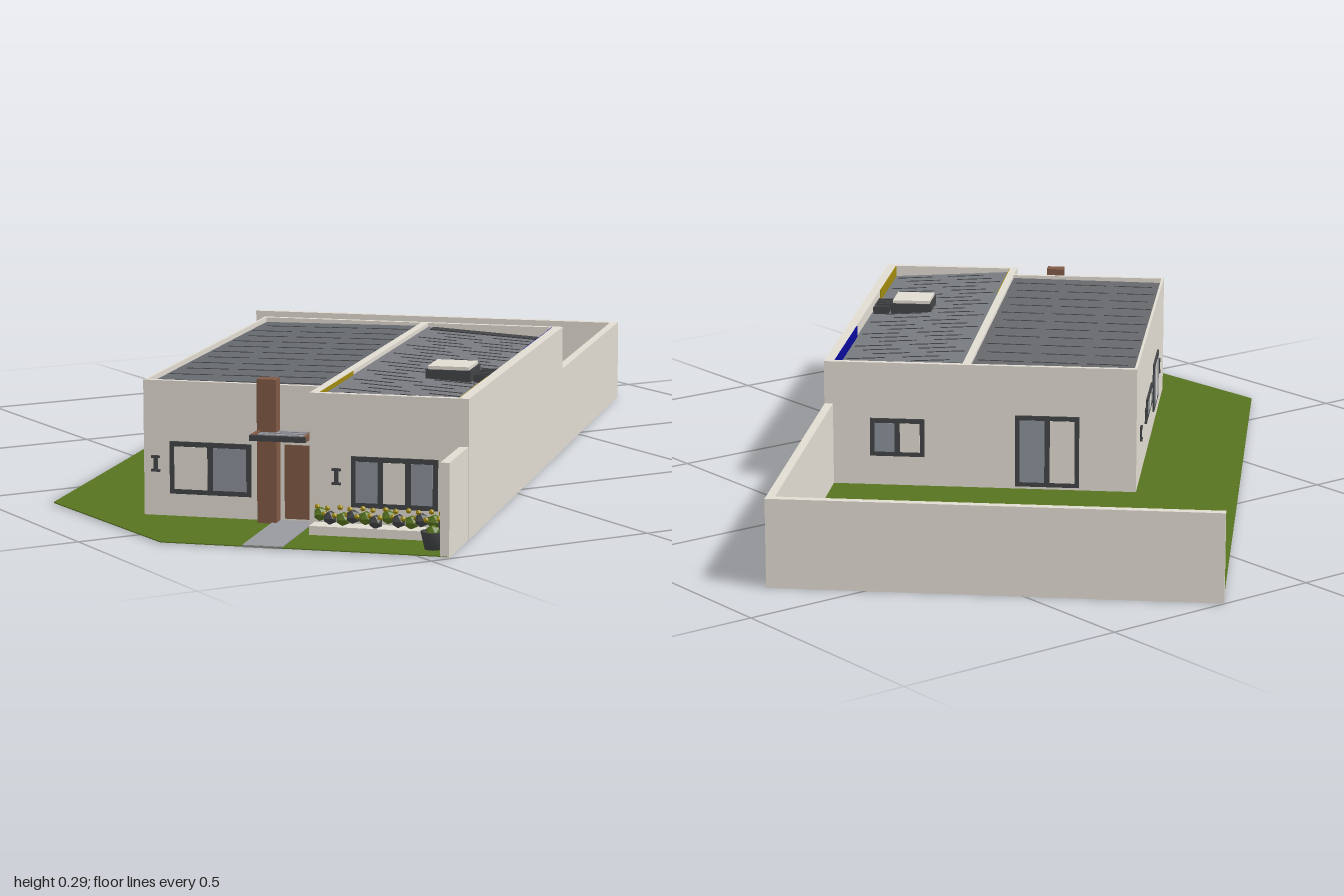
import * as THREE from 'three';

const mat = (name, color) => {
  const m = new THREE.MeshStandardMaterial({ color });
  m.name = name;
  return m;
};

export function createModel() {
  const wall = mat('wall plaster', 0xe2dcd2);
  const grass = mat('grass', 0x577320);
  const roofDark = mat('dark roof', 0x66696d);
  const roofLight = mat('light roof', 0x787b80);
  const paving = mat('paving', 0x989aa0);
  const brown = mat('brown brick', 0x805a46);
  const dark = mat('dark metal', 0x424446);
  const glass = mat('glass', 0x8c929a);
  const blue = mat('blue paint', 0x0a0a9a);
  const yellow = mat('yellow paint', 0xa08a10);

  const model = new THREE.Group();
  model.name = 'houseAndYard';
  // The plot is turned: a runs front to back, b runs right to left (local z = -b)
  const plot = new THREE.Group();
  plot.name = 'plot';
  plot.position.set(-0.458, 0, 0.997);
  plot.rotation.y = Math.atan2(0.715, 0.699);
  model.add(plot);

  const add = (name, geo, material) => {
    const mesh = new THREE.Mesh(geo, material);
    mesh.name = name;
    plot.add(mesh);
    return mesh;
  };
  const box = (name, m, a0, a1, y0, y1, b0, b1) => {
    const g = new THREE.BoxGeometry(a1 - a0, y1 - y0, b1 - b0);
    g.translate((a0 + a1) / 2, (y0 + y1) / 2, -(b0 + b1) / 2);
    return add(name, g, m);
  };
  // Box whose height follows the slope of a roof
  const sloped = (name, m, a0, a1, b0, b1, thick, heightAt) => {
    const mesh = box(name, m, a0, a1, -thick, 0, b0, b1);
    const p = mesh.geometry.attributes.position;
    for (let i = 0; i < p.count; i++) p.setY(i, p.getY(i) + heightAt(-p.getZ(i)));
    mesh.geometry.computeVertexNormals();
    return mesh;
  };

  // Lawn
  const outline = [[0, 0.004], [1.89, 0.004], [1.89, 0.91], [0.32, 0.905], [0, 0.575]];
  const lawn = new THREE.ExtrudeGeometry(
    new THREE.Shape(outline.map(([a, b]) => new THREE.Vector2(a, b))),
    { depth: 0.002, bevelEnabled: false });
  lawn.rotateX(-Math.PI / 2).translate(0, 0.002, 0);
  add('lawn', lawn, grass);

  // Path and floors
  box('path', paving, 0, 0.25, 0.001, 0.006, 0.33, 0.41);
  box('rightFloor', wall, 0.175, 0.44, 0.0008, 0.008, 0.005, 0.32);
  box('hallFloor', wall, 0.44, 0.65, 0.0008, 0.008, 0.23, 0.32);
  box('brownFloor', brown, 0.44, 0.65, 0.0005, 0.008, 0.005, 0.23);
  box('bedroomFloor', dark, 0.65, 1.145, 0.0005, 0.008, 0.005, 0.31);
  box('leftFloor', wall, 0.25, 1.145, 0.0008, 0.008, 0.32, 0.68);
  box('bathFloor', dark, 0.9, 1.145, 0, 0.008, 0.41, 0.675);

  // Yard walls
  const Y = 0.185, H = 0.28, back = 1.156, front = 0.17;
  box('rightYardWall', wall, 0, 1.9, 0, Y, 0, 0.018);
  box('backYardWall', wall, 1.882, 1.9, 0, Y, 0, 0.912);

  // House walls, standing up as low parapets around both roofs
  box('rightWall', wall, front, back, 0, H, -0.001, 0.02);
  box('rightFrontWall', wall, front, front + 0.014, 0, H, 0.01, 0.315);
  box('rightBackWall', wall, back - 0.014, back, 0, H, 0.01, 0.315);
  box('middleWall', wall, front, back, 0, H, 0.303, 0.32);
  box('leftFrontWall', wall, 0.245, 0.257, 0, H, 0.315, 0.685);
  box('leftBackWall', wall, back - 0.012, back, 0, H, 0.315, 0.685);
  box('leftWall', wall, 0.245, back, 0, H, 0.679, 0.685);

  // Roofs falling gently away from the middle wall
  const leftHeight = (b) => 0.273 - (b - 0.32) * 0.01;
  const rightHeight = (b) => 0.253 + b * 0.06;
  sloped('leftRoof', roofDark, 0.255, back - 0.01, 0.318, 0.681, 0.01, leftHeight);
  sloped('rightRoof', roofLight, front + 0.012, back - 0.012, 0.018, 0.305, 0.01, rightHeight);
  sloped('roofGutter', dark, 1.105, 1.14, 0.03, 0.29, 0.003, (b) => rightHeight(b) + 0.002);

  // Roof seams, in staggered lengths
  for (let i = 0; i < 11; i++) {
    const a = 0.31 + i * 0.077;
    for (const [b0, b1] of [[0.33, 0.43], [0.45, 0.55], [0.57, 0.66]]) {
      const s = (i % 2) * 0.012;
      sloped('leftRoofSeam', dark, a, a + 0.0035, b0 + s, b1 + s, 0.003, (b) => leftHeight(b) + 0.001);
    }
  }
  for (let i = 0; i < 23; i++) {
    const a = 0.21 + i * 0.039, s = (i % 3) * 0.025;
    for (const b0 of [0.03, 0.155])
      sloped('rightRoofSeam', dark, a, a + 0.0045, b0 + s, b0 + s + 0.085, 0.003,
        (b) => rightHeight(b) + 0.001);
  }

  // Painted inner faces of the parapets
  box('blueParapet', blue, 0.82, back - 0.016, 0.25, 0.2795, 0.019, 0.022);
  box('yellowParapet', yellow, 0.186, 0.45, 0.25, 0.2795, 0.019, 0.022);
  box('yellowMiddleParapet', yellow, 0.186, 0.45, 0.255, 0.2795, 0.301, 0.304);

  // Skylight with a slatted vent beside it
  box('skylightRim', dark, 0.497, 0.595, 0.24, 0.281, 0.067, 0.161);
  box('skylight', wall, 0.501, 0.591, 0.24, 0.288, 0.071, 0.157);
  for (let i = 0; i < 6; i++)
    box('ventSlat', dark, 0.505 + i * 0.017, 0.511 + i * 0.017, 0.245, 0.272, 0.025, 0.062);

  // Plate on an outside face: facing is 'front', 'back' or 'left'; s runs along the wall
  const plate = (name, m, facing, at, s0, s1, y0, y1, d) => {
    if (facing === 'left') return box(name, m, s0, s1, y0, y1, at - 0.002, at + d);
    const out = facing === 'front' ? -d : d;
    return box(name, m, Math.min(at, at + out), Math.max(at, at + out), y0, y1, s0, s1);
  };
  const windowUnit = (facing, at, s0, s1, y0, y1, panes) => {
    plate('windowFrame', dark, facing, at, s0, s1, y0, y1, 0.004);
    const w = (s1 - s0 - 0.008) / panes;
    for (let i = 0; i < panes; i++) {
      const p = s0 + 0.004 + i * w;
      plate('windowPane', i % 2 ? wall : glass, facing, at, p + 0.006, p + w - 0.006,
        y0 + 0.01, y1 - 0.01, 0.005);
    }
  };
  windowUnit('front', 0.245, 0.46, 0.63, 0.05, 0.157, 2);
  windowUnit('front', front, 0.06, 0.235, 0.055, 0.157, 3);
  windowUnit('left', 0.685, 0.473, 0.629, 0.045, 0.157, 3);
  windowUnit('left', 0.685, 0.69, 0.85, 0.085, 0.133, 3);
  windowUnit('back', back, 0.42, 0.56, 0.01, 0.17, 2);
  windowUnit('back', back, 0.1, 0.22, 0.07, 0.155, 2);

  // Front door
  plate('frontDoor', brown, 'front', 0.245, 0.335, 0.39, 0.01, 0.16, 0.005);

  // Wall lamps
  const lamp = (facing, at, s, y) => {
    plate('lampBody', dark, facing, at, s - 0.004, s + 0.004, y - 0.013, y + 0.013, 0.004);
    for (const e of [-0.014, 0.014])
      plate('lampCap', dark, facing, at, s - 0.009, s + 0.009, y + e - 0.0025, y + e + 0.0025, 0.005);
  };
  for (const a of [0.425, 0.66, 0.887, 1.037]) lamp('left', 0.685, a, 0.105);
  lamp('front', 0.245, 0.66, 0.11);
  lamp('front', front, 0.265, 0.115);

  // Brick pillar and slatted porch canopy
  box('brickPillar', brown, 0.215, 0.247, 0, 0.295, 0.4, 0.44);
  for (const b of [0.325, 0.432]) box('canopyBeam', brown, 0.165, 0.245, 0.181, 0.192, b, b + 0.008);
  box('canopyFrontBeam', dark, 0.157, 0.165, 0.181, 0.192, 0.325, 0.44);
  for (let i = 0; i < 4; i++)
    box('canopySlat', paving, 0.172 + i * 0.019, 0.182 + i * 0.019, 0.183, 0.189, 0.333, 0.432);

  // Flower bed below the front window
  box('flowerBed', wall, 0.128, front, 0.002, 0.022, 0.03, 0.31);
  const leaf = new THREE.IcosahedronGeometry(0.015, 0);
  const bloom = new THREE.IcosahedronGeometry(0.006, 0);
  for (let i = 0; i < 12; i++) {
    const b = 0.04 + i * 0.023, a = 0.146 + (i % 2 ? 0.006 : -0.006);
    add('shrub', leaf, i % 2 ? grass : dark).position.set(a, 0.034 + (i % 3) * 0.004, -b);
    for (const [e, y] of [[-0.011, 0.045], [0.008, 0.055]])
      add('flower', bloom, yellow).position.set(a + e, y, -b - e);
  }

  // Round planter near the front corner
  const pot = new THREE.LatheGeometry([[0.001, 0], [0.016, 0], [0.024, 0.035], [0.02, 0.035], [0.001, 0.03]]
    .map(([x, y]) => new THREE.Vector2(x, y)), 14);
  add('planter', pot, dark).position.set(0.057, 0.004, -0.045);
  add('planterShrub', leaf, grass).position.set(0.057, 0.037, -0.045);

  return model;
}
